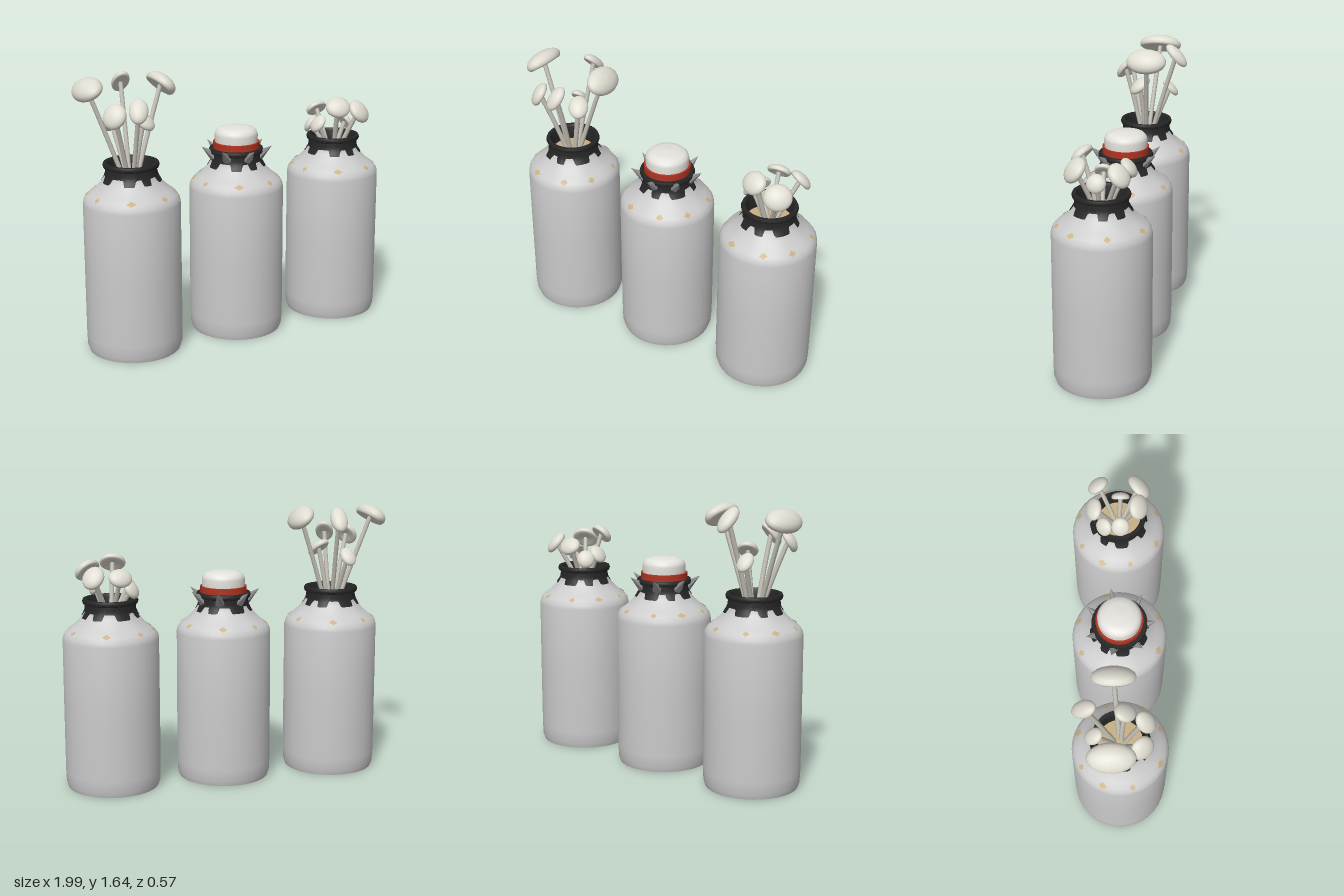
import * as THREE from 'three';
import { toCreasedNormals } from 'three/addons/utils/BufferGeometryUtils.js';

const mat = (color, side = THREE.FrontSide) => new THREE.MeshStandardMaterial({ color, side });
const metal = mat(0xcccccc);
const black = mat(0x262626, THREE.DoubleSide);
const tan = mat(0xc8b084, THREE.DoubleSide);
const red = mat(0xb03422);
const white = mat(0xe4e2dc);
const capMat = mat(0xdedbd0);
const stemMat = mat(0xc6c3b8);
const spikeMat = mat(0x8a8a8a);

const V2 = (pts) => pts.map(([x, y]) => new THREE.Vector2(x, y));
const wall = [[0.272, 0], [0.282, 0.03], [0.285, 0.1], [0.285, 0.5], [0.284, 0.9], [0.279, 0.925],
  [0.262, 0.95], [0.228, 0.975], [0.192, 1.008], [0.165, 1.04], [0.148, 1.07], [0.144, 1.115]];

// Faint flutes on the shoulder
const flute = (y, t) => 1 + 0.016 * Math.sin(9 * t) * Math.max(0, 1 - Math.abs(y - 0.985) / 0.07);

function radiusAt(y, t) {
  let i = 1;
  while (i < wall.length - 1 && wall[i][1] < y) i++;
  const [r0, y0] = wall[i - 1], [r1, y1] = wall[i];
  return THREE.MathUtils.lerp(r0, r1, (y - y0) / (y1 - y0)) * flute(y, t);
}

function add(parent, name, geometry, material) {
  const mesh = new THREE.Mesh(geometry, material);
  mesh.name = name;
  parent.add(mesh);
  return mesh;
}

// Thin sheet lying on the bottle wall; map(u, v) gives [angle, height]
function sheet(nu, nv, map) {
  const g = new THREE.PlaneGeometry(1, 1, nu, nv);
  const p = g.attributes.position;
  for (let i = 0; i < p.count; i++) {
    const [t, y] = map(p.getX(i) + 0.5, p.getY(i) + 0.5);
    const r = radiusAt(y, t) + 0.004;
    p.setXYZ(i, r * Math.sin(t), y, r * Math.cos(t));
  }
  g.computeVertexNormals();
  return g;
}

function bodyGeometry() {
  const g = new THREE.LatheGeometry(V2([[0, 0], ...wall]), 36);
  const p = g.attributes.position;
  for (let i = 0; i < p.count; i++) {
    const f = flute(p.getY(i), Math.atan2(p.getX(i), p.getZ(i)));
    p.setX(i, p.getX(i) * f);
    p.setZ(i, p.getZ(i) * f);
  }
  return toCreasedNormals(g, 0.8);
}

function makeBottle(name) {
  const g = new THREE.Group();
  g.name = name;
  add(g, 'bottleBody', bodyGeometry(), metal);
  // Dark neck paint with square drips
  add(g, 'neckPaint', sheet(112, 5, (u, v) => {
    const t = u * Math.PI * 2;
    const drip = THREE.MathUtils.smoothstep(Math.sin(8 * t + 0.9 * Math.sin(3 * t)), -0.4, 0.1);
    return [t, THREE.MathUtils.lerp(1.066 - 0.034 * drip, 1.112, v)];
  }), black);
  // Rolled rim and the inside of the neck
  const rim = V2([[0.142, 1.105], [0.16, 1.112], [0.165, 1.126], [0.16, 1.14], [0.141, 1.14],
    [0.133, 1.125], [0.131, 1.04]]);
  add(g, 'rim', toCreasedNormals(new THREE.LatheGeometry(rim, 36), 0.7), black);
  add(g, 'innerFloor', new THREE.CircleGeometry(0.134, 36).rotateX(-Math.PI / 2).translate(0, 1.045, 0), tan);
  // Worn patches round the shoulder
  for (let i = 0; i < 8; i++) {
    const t0 = (i + 0.5) * Math.PI / 4 + 0.12 * Math.sin(i * 5);
    const w = 0.09 + 0.03 * Math.sin(i * 3);
    add(g, 'wornPatch', sheet(2, 2, (u, v) =>
      [t0 + w * (u - v), 0.957 + 0.013 * (u + v - 1)]), tan);
  }
  return g;
}

const capProfile = V2([[0, -0.18], [0.6, -0.26], [0.88, -0.3], [0.97, -0.2], [1, -0.05], [0.95, 0.12],
  [0.8, 0.28], [0.55, 0.41], [0.28, 0.48], [0, 0.5]]);

// Cap centre, facing direction, radius along the slope and radius across it
function makeMushroom([pos, facing, along, across]) {
  const g = new THREE.Group();
  g.name = 'mushroom';
  const n = new THREE.Vector3(...facing).normalize();
  const u = new THREE.Vector3(0, 1, 0).cross(n).normalize();
  const v = new THREE.Vector3().crossVectors(u, n);
  const tip = new THREE.Vector3(...pos);

  const cap = add(g, 'mushroomCap', new THREE.LatheGeometry(capProfile, 24), capMat);
  cap.scale.set(across, (along + across) * 0.46, along);
  cap.quaternion.setFromRotationMatrix(new THREE.Matrix4().makeBasis(u, n, v.negate().cross(u).lengthSq() ? u.clone().cross(n) : v));
  cap.position.copy(tip);

  const end = tip.clone().addScaledVector(n, -0.008);
  const start = new THREE.Vector3(pos[0] * 0.12, 1.0, pos[2] * 0.12);
  const bend = start.clone().lerp(end, 0.6).addScaledVector(n, -0.006);
  const path = new THREE.CatmullRomCurve3([start, bend, end]);
  add(g, 'mushroomStem', new THREE.TubeGeometry(path, 10, 0.014, 8), stemMat);
  return g;
}

const tallBunch = [
  [[-0.24, 1.58, -0.05], [-0.55, 0.83, 0], 0.085, 0.135],
  [[0.22, 1.575, -0.035], [0.7, 0.72, 0], 0.085, 0.125],
  [[0.035, 1.575, -0.2], [0.1, 0.7, -0.7], 0.09, 0.052],
  [[-0.15, 1.445, 0.12], [-0.65, 0.5, 0.5], 0.075, 0.07],
  [[-0.01, 1.465, 0.14], [-0.35, 0.6, 0.65], 0.08, 0.055],
  [[0.075, 1.38, 0.03], [0.3, 0.75, 0.5], 0.075, 0.06],
  [[-0.05, 1.34, -0.15], [-0.1, 0.7, -0.7], 0.065, 0.048],
];
const shortBunch = [
  [[-0.045, 1.335, 0.12], [-0.2, 0.65, 0.7], 0.07, 0.077],
  [[0.11, 1.295, 0.125], [0.4, 0.6, 0.65], 0.078, 0.083],
  [[-0.03, 1.28, -0.15], [-0.1, 0.65, -0.75], 0.06, 0.07],
  [[0.125, 1.285, -0.125], [0.45, 0.65, -0.6], 0.075, 0.065],
  [[-0.11, 1.2, -0.09], [-0.6, 0.5, -0.6], 0.058, 0.055],
  [[-0.12, 1.22, 0.01], [-0.75, 0.6, 0], 0.06, 0.055],
  [[0.085, 1.215, 0.012], [0.85, 0.5, 0], 0.055, 0.055],
];

export function createModel() {
  const model = new THREE.Group();
  model.name = 'threeBottles';

  const left = makeBottle('tallMushroomBottle');
  tallBunch.forEach((m) => left.add(makeMushroom(m)));
  left.position.x = -0.685;

  const right = makeBottle('shortMushroomBottle');
  shortBunch.forEach((m) => right.add(makeMushroom(m)));
  right.position.x = 0.707;

  // Stoppered bottle with a spiked collar
  const middle = makeBottle('spikedBottle');
  middle.position.x = 0.011;
  add(middle, 'redBand', new THREE.CylinderGeometry(0.14, 0.14, 0.07, 36).translate(0, 1.143, 0), red);
  const stopper = V2([[0.128, 1.17], [0.13, 1.22], [0.124, 1.24], [0.107, 1.257], [0.07, 1.267], [0, 1.271]]);
  add(middle, 'stopper', new THREE.LatheGeometry(stopper, 36), white);
  const spikeDir = new THREE.Vector3(0, 0.62, 0.78).normalize();
  for (let i = 0; i < 7; i++) {
    const pivot = new THREE.Group();
    pivot.name = 'collarSpike';
    pivot.rotation.y = (i / 7) * Math.PI * 2;
    const cone = toCreasedNormals(new THREE.ConeGeometry(0.032, 0.1, 6).translate(0, 0.05, 0), 0.4);
    const spike = add(pivot, 'spike', cone, spikeMat);
    spike.quaternion.setFromUnitVectors(new THREE.Vector3(0, 1, 0), spikeDir);
    spike.position.set(0, 1.095, 0.138);
    middle.add(pivot);
  }

  model.add(left, middle, right);
  return model;
}
